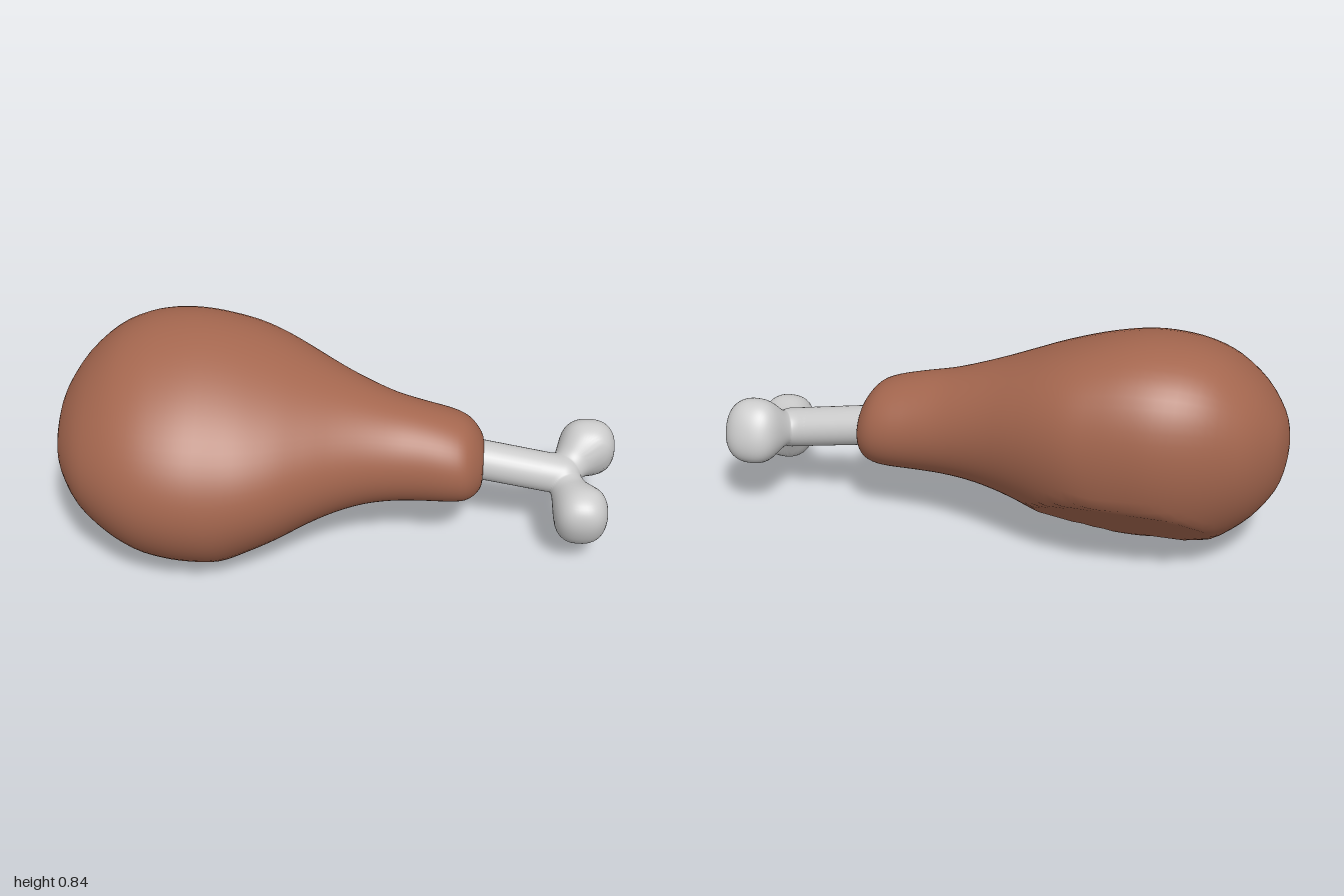
import * as THREE from 'three';
import { mergeVertices } from 'three/addons/utils/BufferGeometryUtils.js';

// Meat outline stations: [x, top y, bottom y, back z, front z]
const STATIONS = [
  [-1, .43, .43, 0, 0], [-.995, .5, .365, -.075, .075], [-.97, .585, .28, -.165, .165],
  [-.9, .69, .18, -.278, .28], [-.8, .777, .095, -.36, .362], [-.7, .82, .04, -.41, .412],
  [-.6, .836, .014, -.435, .435], [-.5, .836, .002, -.44, .438], [-.4, .82, .002, -.436, .423],
  [-.3, .792, .045, -.424, .396], [-.2, .755, .09, -.395, .35], [-.1, .71, .138, -.355, .287],
  [0, .665, .173, -.312, .224], [.1, .625, .195, -.276, .174], [.2, .59, .204, -.25, .142],
  [.3, .565, .205, -.236, .126], [.4, .537, .205, -.23, .117], [.46, .508, .21, -.215, .1],
  [.5, .46, .23, -.185, .055], [.518, .41, .27, -.15, .01], [.516, .34, .34, -.073, -.073],
];

function meatGeometry() {
  const heights = new THREE.CatmullRomCurve3(STATIONS.map(s => new THREE.Vector3(s[0], s[1], s[2])), false, 'catmullrom');
  const depths = new THREE.CatmullRomCurve3(STATIONS.map(s => new THREE.Vector3(s[0], s[3], s[4])), false, 'catmullrom');
  const rows = (STATIONS.length - 1) * 3, sides = 64;
  const pos = [], index = [];
  for (let i = 0; i <= rows; i++) {
    const h = heights.getPoint(i / rows), d = depths.getPoint(i / rows);
    // the top of the oval leans backwards in the thick half and straightens toward the knuckle
    const lean = 1 - THREE.MathUtils.smoothstep(h.x, -.3, .35);
    for (let j = 0; j < sides; j++) {
      const a = j / sides * Math.PI * 2;
      const shift = -lean * (.17 + .15 * Math.sin(a - .5));
      let z = (d.y + d.z) / 2 + (d.z - d.y) / 2 * Math.cos(a);
      let y = (h.y + h.z) / 2 + (h.y - h.z) / 2 * Math.sin(a + shift);
      // flattened lower back
      const over = Math.max(0, -.629 * z - .778 * y);
      z += .629 * over;
      y += .778 * over;
      pos.push(h.x, Math.max(0, y), z);
      if (i < rows) {
        const k = (j + 1) % sides, p = i * sides, q = p + sides;
        index.push(p + j, q + j, p + k, p + k, q + j, q + k);
      }
    }
  }
  const g = new THREE.BufferGeometry();
  g.setAttribute('position', new THREE.Float32BufferAttribute(pos, 3));
  g.setIndex(index);
  g.computeVertexNormals();
  return g;
}

const SHAFT_START = new THREE.Vector3(.4, .363, -.075);
const JOINT = new THREE.Vector3(.8, .292, -.075);
const SHAFT_RADIUS = .071;
const KNOBS = [
  { center: new THREE.Vector3(.873, .219, .06), radii: [.099, .122, .097] },
  { center: new THREE.Vector3(.893, .328, -.2), radii: [.105, .123, .092] },
];
const KNOB_TILT = .38, NECK_RADIUS = .062, BLEND = .05;
const X_AXIS = new THREE.Vector3(1, 0, 0);

// Two tilted knobs on short necks, blended into the end of the shaft, as a distance field
const stub = new THREE.Line3(new THREE.Vector3().lerpVectors(SHAFT_START, JOINT, .8), JOINT);
const necks = KNOBS.map(k => new THREE.Line3(JOINT, k.center));
const q = new THREE.Vector3();
const capsule = (line, p, radius) => line.closestPointToPoint(p, true, q).distanceTo(p) - radius;
function blend(a, b) {
  const h = Math.max(BLEND - Math.abs(a - b), 0) / BLEND;
  return Math.min(a, b) - h * h * BLEND / 4;
}
function headDistance(p) {
  let dist = capsule(stub, p, SHAFT_RADIUS);
  for (const neck of necks) dist = Math.min(dist, capsule(neck, p, NECK_RADIUS));
  for (const { center, radii: [rx, ry, rz] } of KNOBS) {
    q.copy(p).sub(center).applyAxisAngle(X_AXIS, -KNOB_TILT);
    const e = Math.abs(q.x / rx) ** 2.4 + Math.abs(q.y / ry) ** 2.4 + Math.abs(q.z / rz) ** 2.4;
    dist = blend(dist, (e ** (1 / 2.4) - 1) * Math.min(rx, ry, rz) + .004);
  }
  return dist;
}

// A sphere whose vertices are moved along their rays onto the blended surface
function headGeometry() {
  let g = new THREE.SphereGeometry(1, 112, 80);
  g.deleteAttribute('uv');
  g.deleteAttribute('normal');
  g = mergeVertices(g, 1e-5);
  const pos = g.attributes.position, dir = new THREE.Vector3(), p = new THREE.Vector3();
  const at = t => headDistance(p.copy(JOINT).addScaledVector(dir, t));
  for (let i = 0; i < pos.count; i++) {
    dir.fromBufferAttribute(pos, i).normalize();
    let t = .36;
    while (t > .02 && at(t) > 0) t -= .006;
    let lo = t, hi = t + .006;
    for (let n = 0; n < 8; n++) {
      const mid = (lo + hi) / 2;
      if (at(mid) > 0) hi = mid; else lo = mid;
    }
    p.copy(JOINT).addScaledVector(dir, lo);
    pos.setXYZ(i, p.x, p.y, p.z);
  }
  g.computeVertexNormals();
  return g;
}

export function createModel() {
  const model = new THREE.Group();
  model.name = 'drumstick';
  const add = (name, geometry, color, parent) => {
    const mesh = new THREE.Mesh(geometry, new THREE.MeshStandardMaterial({ color }));
    mesh.name = name;
    parent.add(mesh);
    return mesh;
  };

  add('meat', meatGeometry(), 0xa5674f, model);

  // Bone: straight shaft and two-knobbed end
  const bone = new THREE.Group();
  bone.name = 'bone';
  model.add(bone);
  const axis = new THREE.Vector3().subVectors(JOINT, SHAFT_START);
  const shaft = add('boneShaft', new THREE.CylinderGeometry(SHAFT_RADIUS, SHAFT_RADIUS + .001, axis.length(), 32), 0xcccccc, bone);
  shaft.position.lerpVectors(SHAFT_START, JOINT, .5);
  shaft.quaternion.setFromUnitVectors(new THREE.Vector3(0, 1, 0), axis.normalize());
  add('boneEnd', headGeometry(), 0xcccccc, bone);
  return model;
}
